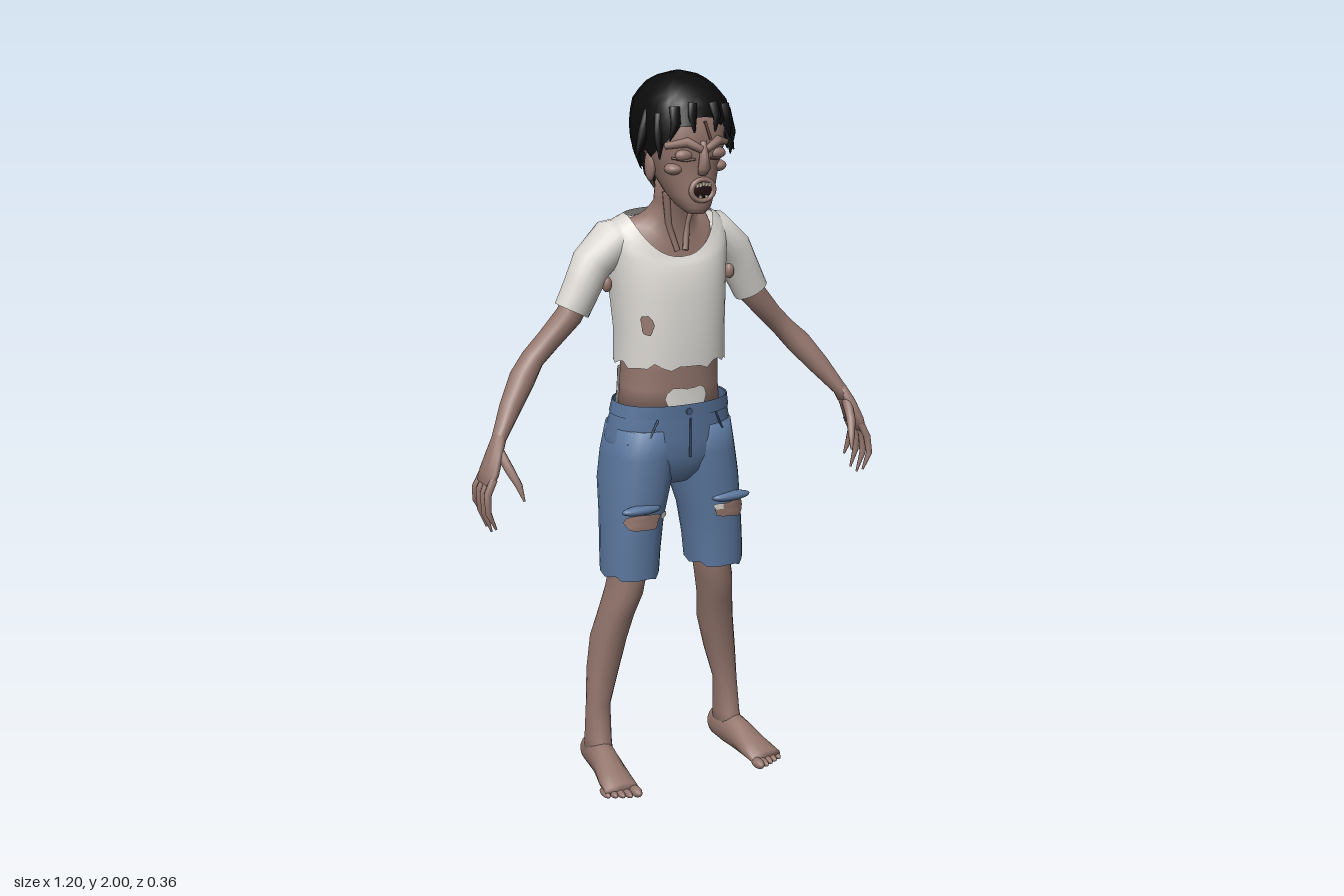
import * as THREE from 'three';

const mat = (name, color, double = true) => {
  const m = new THREE.MeshStandardMaterial({ color, side: double ? THREE.DoubleSide : THREE.FrontSide });
  m.name = name;
  return m;
};

// Signed power gives slightly squared ellipses
const sq = (v, p = 0.88) => Math.sign(v) * Math.abs(v) ** p;
const wobble = j => (Math.sin(j * 2.3) + Math.sin(j * 5.1)) / 2;

// Skin a list of closed rings, with optional end caps
function skinRings(rings, capStart = true, capEnd = true) {
  const n = rings[0].length, pos = [], idx = [];
  rings.forEach(r => r.forEach(p => pos.push(p.x, p.y, p.z)));
  for (let i = 0; i < rings.length - 1; i++) for (let j = 0; j < n; j++) {
    const a = i * n + j, b = i * n + (j + 1) % n;
    idx.push(a, b, b + n, a, b + n, a + n);
  }
  const cap = (i, flip) => {
    const c = new THREE.Vector3();
    rings[i].forEach(p => c.addScaledVector(p, 1 / n));
    const k = pos.length / 3;
    pos.push(c.x, c.y, c.z);
    for (let j = 0; j < n; j++) {
      const a = i * n + j, b = i * n + (j + 1) % n;
      if (flip) idx.push(k, b, a); else idx.push(k, a, b);
    }
  };
  if (capStart) cap(0, true);
  if (capEnd) cap(rings.length - 1, false);
  const g = new THREE.BufferGeometry();
  g.setAttribute('position', new THREE.Float32BufferAttribute(pos, 3));
  g.setIndex(idx);
  g.computeVertexNormals();
  return g;
}

// Horizontal section: [y, centreX, radiusX, frontZ, backZ, frontDip]
function sectionPoint([y, cx, rx, f, b, dip = 0], t, off = 0) {
  const c = Math.cos(t);
  return new THREE.Vector3(cx + (rx + off) * sq(Math.sin(t)),
    y - dip * Math.max(0, c) ** 1.5, (f + b) / 2 + ((f - b) / 2 + off) * sq(c));
}
function sectionAt(rows, y) {
  let i = 0;
  while (i < rows.length - 2 && y > rows[i + 1][0]) i++;
  const k = THREE.MathUtils.clamp((y - rows[i][0]) / (rows[i + 1][0] - rows[i][0]), 0, 1);
  return rows[i].map((v, q) => v + (rows[i + 1][q] - v) * k);
}
function loft(rows, { n = 24, ragged = 0, caps = [true, true] } = {}) {
  const rings = rows.map((r, i) => Array.from({ length: n }, (_, j) => {
    const p = sectionPoint(r, j / n * Math.PI * 2);
    if (i === 0) p.y += ragged * wobble(j);
    return p;
  }));
  return skinRings(rings, ...caps);
}

// Limb along a path: [x, y, z, radiusAcross, radiusAlongRef]
function limb(rows, ref = [0, 0, 1], n = 12, caps = [true, true], side = 1) {
  const pts = rows.map(r => new THREE.Vector3(r[0] * side, r[1], r[2]));
  const rings = pts.map((p, i) => {
    const t = pts[Math.min(i + 1, pts.length - 1)].clone().sub(pts[Math.max(i - 1, 0)]).normalize();
    const v = new THREE.Vector3(...ref);
    v.addScaledVector(t, -v.dot(t)).normalize();
    const u = v.clone().cross(t);
    return Array.from({ length: n }, (_, j) => {
      const a = j / n * Math.PI * 2;
      return p.clone().addScaledVector(u, rows[i][3] * Math.cos(a)).addScaledVector(v, rows[i][4] * Math.sin(a));
    });
  });
  return skinRings(rings, ...caps);
}

// Ragged patch lying on a lofted surface
function patch(rows, t0, y0, dt, dy, off = 0.005, n = 14) {
  const at = (t, y) => sectionPoint(sectionAt(rows, y).slice(0, 5), t, off);
  const rings = [1, 0.66, 0.33].map(s => Array.from({ length: n }, (_, j) => {
    const a = j / n * Math.PI * 2, r = s * (1 + 0.16 * wobble(j + t0 * 3));
    return at(t0 + dt * r * sq(Math.cos(a), 0.7), y0 + dy * r * sq(Math.sin(a), 0.7));
  }));
  return skinRings(rings, false, true);
}

function ball(x, y, z, rx, ry, rz) {
  return new THREE.SphereGeometry(1, 14, 10).scale(rx, ry, rz).translate(x, y, z);
}

export function createModel() {
  const model = new THREE.Group();
  model.name = 'raggedFigure';
  const skin = mat('skin', 0x94766d), shirt = mat('shirtCloth', 0xdad7d2), denim = mat('denim', 0x5a769d);
  const seam = mat('denimSeam', 0x435a7c), hair = mat('hair', 0x0c0c0c), dark = mat('mouthDark', 0x241214);
  const teeth = mat('teeth', 0xc9beab), crease = mat('skinCrease', 0x6a4c45);
  const add = (name, geo, m) => {
    const mesh = new THREE.Mesh(geo, m);
    mesh.name = name;
    model.add(mesh);
  };

  // Shirt body, scooped at the neck and torn along the hem
  const shirtRows = [
    [1.21, 0, 0.155, 0.09, -0.162, 0], [1.3, 0, 0.155, 0.09, -0.162, 0], [1.4, 0, 0.163, 0.082, -0.17, 0],
    [1.47, 0, 0.17, 0.072, -0.176, 0.02], [1.53, 0, 0.175, 0.062, -0.175, 0.05],
    [1.57, 0, 0.172, 0.055, -0.163, 0.08], [1.597, 0, 0.155, 0.05, -0.145, 0.1], [1.615, 0, 0.125, 0.045, -0.12, 0.11]];
  add('shirtBody', loft(shirtRows, { n: 40, ragged: 0.013, caps: [false, false] }), shirt);
  add('shirtFrontHole', patch(shirtRows, -0.75, 1.33, 0.13, 0.026), skin);
  add('shirtBackHole', patch(shirtRows, Math.PI + 0.55, 1.4, 0.14, 0.02), skin);

  // Chest and neck
  add('neck', loft([
    [1.575, 0, 0.13, 0.04, -0.125, 0.105], [1.6, 0, 0.115, 0.036, -0.115, 0.105], [1.605, 0, 0.085, 0.028, -0.105, 0.07],
    [1.62, 0, 0.062, 0.024, -0.09, 0.03], [1.65, 0, 0.052, 0.04, -0.06, 0], [1.73, 0, 0.055, 0.07, -0.045, 0]]), skin);
  for (const s of [-1, 1])
    add('neckTendon', limb([[0.012, 1.52, 0.038, 0.008, 0.008], [0.028, 1.59, 0.016, 0.009, 0.01],
      [0.045, 1.68, 0.035, 0.01, 0.012]], [0, 0, 1], 8, [true, true], s), skin);

  // Bare waist with the torn undershirt behind
  const waist = [[1.06, 0, 0.148, 0.068, -0.14], [1.14, 0, 0.14, 0.066, -0.142], [1.2, 0, 0.138, 0.07, -0.142], [1.3, 0, 0.14, 0.07, -0.145]];
  add('waist', loft(waist), skin);
  const band = [1.07, 1.11, 1.15, 1.185].map(y => Array.from({ length: 21 }, (_, j) =>
    sectionPoint(sectionAt(waist, y + (y > 1.18 ? 0.008 * wobble(j) : 0)), Math.PI * (0.54 + 0.92 * j / 20), 0.006)));
  const bandGeo = new THREE.PlaneGeometry(1, 1, 20, 3);
  band.reverse().flat().forEach((p, i) => bandGeo.attributes.position.setXYZ(i, p.x, p.y, p.z));
  bandGeo.computeVertexNormals();
  add('undershirtBack', bandGeo, shirt);
  add('undershirtHole', patch(waist, 2.3, 1.14, 0.14, 0.018, 0.01), skin);
  for (const s of [-1, 1]) add('undershirtFront', patch(waist, s * 0.17, 1.118, 0.2, 0.03), shirt);

  // Shorts: pelvis, waistband, fly
  const pelvis = [[0.865, 0, 0.05, 0.03, -0.12], [0.9, 0, 0.13, 0.06, -0.15], [0.95, 0, 0.182, 0.074, -0.166],
    [1.0, 0, 0.184, 0.077, -0.167], [1.06, 0, 0.17, 0.078, -0.152], [1.1, 0, 0.162, 0.08, -0.145]];
  add('shortsPelvis', loft(pelvis, { n: 32, caps: [true, false] }), denim);
  add('waistband', loft([[1.065, 0, 0.172, 0.081, -0.153], [1.102, 0, 0.165, 0.083, -0.147]], { n: 32, caps: [false, false] }), denim);
  add('flySeam', new THREE.BoxGeometry(0.006, 0.11, 0.006).translate(0.008, 1.005, 0.078), seam);
  add('waistButton', new THREE.CylinderGeometry(0.009, 0.009, 0.006, 12).rotateX(Math.PI / 2).translate(0, 1.082, 0.084), seam);

  for (const s of [-1, 1]) {
    // Shorts legs with ripped knees
    const legRows = [[0.61, 0.133 * s, 0.077, 0.07, -0.112], [0.68, 0.13 * s, 0.08, 0.07, -0.118], [0.77, 0.122 * s, 0.083, 0.074, -0.135],
      [0.87, 0.106 * s, 0.094, 0.078, -0.166], [0.95, 0.095 * s, 0.094, 0.076, -0.168], [1.03, 0.085 * s, 0.09, 0.072, -0.155]];
    add('shortsLeg', loft(legRows, { ragged: 0.009, caps: [false, true] }), denim);
    add('kneeHole', patch(legRows, 0.2 * s, 0.78, 0.52, 0.024, 0.006), skin);
    add('kneeThread', patch(legRows, s > 0 ? -0.2 : 0.45, 0.793, 0.14, 0.009, 0.009), shirt);
    add('kneeFlap', ball(0.14 * s, 0.815, 0.07, 0.06, 0.014, 0.018), denim);
    add('pocketSeam', limb([[0.09, 1.065, 0.073, 0.003, 0.004], [0.11, 1.02, 0.068, 0.003, 0.004],
      [0.162, 0.995, 0.03, 0.003, 0.004]], [0, 0, 1], 6, [true, true], s), seam);

    // Bare legs and feet
    add('leg', loft([[0.04, 0.213 * s, 0.034, 0.0, -0.135], [0.1, 0.21 * s, 0.034, -0.025, -0.125], [0.2, 0.207 * s, 0.034, -0.045, -0.113],
      [0.3, 0.19 * s, 0.043, -0.033, -0.133], [0.4, 0.172 * s, 0.048, -0.018, -0.14], [0.48, 0.158 * s, 0.045, 0.008, -0.12],
      [0.55, 0.143 * s, 0.048, 0.032, -0.104], [0.62, 0.13 * s, 0.048, 0.035, -0.1], [0.76, 0.125 * s, 0.06, 0.04, -0.11]], { n: 18 }), skin);
    const foot = limb([[0.205, 0.028, -0.145, 0.018, 0.02], [0.208, 0.042, -0.125, 0.034, 0.042], [0.212, 0.05, -0.06, 0.038, 0.055],
      [0.219, 0.042, 0, 0.04, 0.047], [0.228, 0.028, 0.07, 0.048, 0.03], [0.233, 0.02, 0.125, 0.05, 0.021]], [0, 1, 0], 16, [true, true], s);
    const fp = foot.attributes.position;
    for (let i = 0; i < fp.count; i++) fp.setY(i, Math.max(0, fp.getY(i)));
    foot.computeVertexNormals();
    add('foot', foot, skin);
    for (let i = 0; i < 5; i++) {
      const r = i ? 0.0105 : 0.015;
      add('toe', ball(s * (0.197 + 0.0185 * i + (i ? 0.004 : 0)), r, 0.14 - 0.009 * i, r, r, 0.029), skin);
    }

    // Sleeve, arm and hand
    add('sleeve', limb([[0.08, 1.55, -0.075, 0.055, 0.07], [0.155, 1.54, -0.075, 0.06, 0.075], [0.215, 1.485, -0.072, 0.056, 0.062],
      [0.245, 1.425, -0.07, 0.052, 0.053], [0.277, 1.362, -0.07, 0.05, 0.046]], [0, 0, 1], 18, [true, false], s), shirt);
    add('sleeveHole', ball(s * 0.188, 1.432, -0.035, 0.014, 0.022, 0.014), skin);
    add('arm', limb([[0.23, 1.45, -0.07, 0.038, 0.038], [0.285, 1.35, -0.07, 0.037, 0.036], [0.345, 1.285, -0.078, 0.032, 0.035],
      [0.39, 1.24, -0.08, 0.031, 0.036], [0.43, 1.195, -0.06, 0.036, 0.036], [0.48, 1.13, -0.028, 0.03, 0.03],
      [0.53, 1.06, 0.008, 0.019, 0.024], [0.54, 1.035, 0.015, 0.018, 0.026]], [0, 0, 1], 14, [true, true], s), skin);
    add('palm', limb([[0.53, 1.065, 0.008, 0.017, 0.022], [0.55, 1.02, 0.02, 0.02, 0.036], [0.568, 0.975, 0.025, 0.019, 0.048],
      [0.58, 0.945, 0.025, 0.013, 0.046]], [0, 0, 1], 14, [true, true], s), skin);
    [[0.06, 0.074, 0.83], [0.036, 0.042, 0.815], [0.01, 0.008, 0.82], [-0.014, -0.028, 0.85]].forEach(([z0, z1, y], i) =>
      add('finger', limb([[0.57, 0.965, z0, 0.011, 0.012], [0.59, 0.925, z0 * 0.7 + z1 * 0.3, 0.011, 0.011],
        [0.593 - 0.002 * i, (y + 0.925) / 2, z1, 0.009, 0.009], [0.572, y, z1, 0.003, 0.003]], [0, 0, 1], 8, [true, true], s), skin));
    add('thumb', limb([[0.54, 1.03, 0.03, 0.014, 0.015], [0.528, 0.985, 0.075, 0.013, 0.013], [0.515, 0.95, 0.1, 0.01, 0.01],
      [0.507, 0.91, 0.115, 0.003, 0.003]], [0, 0, 1], 8, [true, true], s), skin);

    // Brows, closed eyes, cheekbones, ears
    add('brow', limb([[0.008, 1.81, 0.166, 0.01, 0.01], [0.045, 1.83, 0.156, 0.013, 0.014], [0.088, 1.818, 0.115, 0.009, 0.01]],
      [0, 0, 1], 8, [true, true], s), skin);
    add('eyelid', ball(s * 0.048, 1.795, 0.143, 0.026, 0.016, 0.016), skin);
    add('eyeCrease', limb([[0.022, 1.785, 0.158, 0.0035, 0.003], [0.05, 1.782, 0.153, 0.0035, 0.004], [0.078, 1.788, 0.13, 0.003, 0.004]],
      [0, 0, 1], 6, [true, true], s), crease);
    add('cheekbone', ball(s * 0.064, 1.757, 0.115, 0.026, 0.016, 0.026), skin);
    add('ear', ball(s * 0.09, 1.755, 0.03, 0.013, 0.042, 0.022), skin);
  }

  // Head, nose and open mouth
  add('head', loft([[1.637, 0, 0.024, 0.145, 0.085], [1.655, 0, 0.043, 0.158, 0.05], [1.685, 0, 0.06, 0.158, 0.005],
    [1.73, 0, 0.077, 0.155, -0.04], [1.77, 0, 0.09, 0.155, -0.06], [1.81, 0, 0.104, 0.16, -0.08],
    [1.87, 0, 0.108, 0.162, -0.09], [1.93, 0, 0.095, 0.135, -0.08], [1.965, 0, 0.055, 0.085, -0.035]]), skin);
  add('nose', limb([[0, 1.83, 0.155, 0.01, 0.01], [0, 1.79, 0.164, 0.012, 0.014], [0, 1.762, 0.166, 0.018, 0.015],
    [0, 1.745, 0.155, 0.014, 0.008]], [0, 0, 1], 10), skin);
  add('foreheadScar', new THREE.BoxGeometry(0.007, 0.05, 0.006).rotateZ(0.35).translate(0.012, 1.858, 0.161), crease);
  add('lips', new THREE.TorusGeometry(0.033, 0.008, 8, 20).scale(1, 0.85, 1).translate(0, 1.702, 0.156), skin);
  add('mouth', ball(0, 1.702, 0.153, 0.033, 0.027, 0.008), dark);
  for (let i = -2; i <= 2; i++) {
    add('upperTooth', new THREE.BoxGeometry(0.007, 0.009, 0.006).translate(i * 0.009, 1.719 - Math.abs(i) * 0.002, 0.16), teeth);
    if (i % 2) add('lowerTooth', new THREE.BoxGeometry(0.007, 0.007, 0.006).translate(i * 0.009, 1.685, 0.16), teeth);
  }

  // Hair cap with a jagged edge, plus loose locks
  const hairRows = [[1.68, 0, 0.07, 0.12, -0.04], [1.74, 0, 0.1, 0.15, -0.085], [1.8, 0, 0.122, 0.172, -0.112], [1.87, 0, 0.125, 0.178, -0.122],
    [1.93, 0, 0.114, 0.158, -0.108], [1.97, 0, 0.082, 0.115, -0.07], [1.99, 0, 0.048, 0.07, -0.03], [2, 0, 0.004, 0.024, 0.016]];
  const hairRings = Array.from({ length: 11 }, (_, i) => Array.from({ length: 40 }, (_, j) => {
    const t = j / 40 * Math.PI * 2, c = Math.cos(t);
    const edge = (c > 0 ? 1.785 + 0.11 * c * c : 1.785 + 0.085 * c) + 0.018 * wobble(j);
    return sectionPoint(sectionAt(hairRows, edge + (2 - edge) * Math.sin(i / 10 * Math.PI / 2)), t, j % 2 ? -0.003 : 0.001);
  }));
  add('hairCap', skinRings(hairRings, false, true), hair);
  const lock = (a, b, c, r = 0.018) => add('hairLock', limb([[...a, r, r * 0.6], [...b, r * 0.9, r * 0.5], [...c, 0.002, 0.002]], [0, 0, 1], 8), hair);
  for (const s of [-1, 1]) {
    lock([s * 0.1, 1.9, 0.05], [s * 0.125, 1.84, 0.06], [s * 0.146, 1.785, 0.06], 0.02);
    lock([s * 0.095, 1.9, 0.1], [s * 0.105, 1.84, 0.115], [s * 0.105, 1.785, 0.115]);
    lock([s * 0.07, 1.92, 0.135], [s * 0.075, 1.88, 0.15], [s * 0.088, 1.835, 0.14]);
    lock([s * 0.03, 1.93, 0.155], [s * 0.036, 1.895, 0.167], [s * 0.03, 1.855, 0.168], 0.014);
    lock([s * 0.05, 1.75, -0.06], [s * 0.045, 1.72, -0.062], [s * 0.04, 1.68, -0.04]);
  }
  return model;
}
